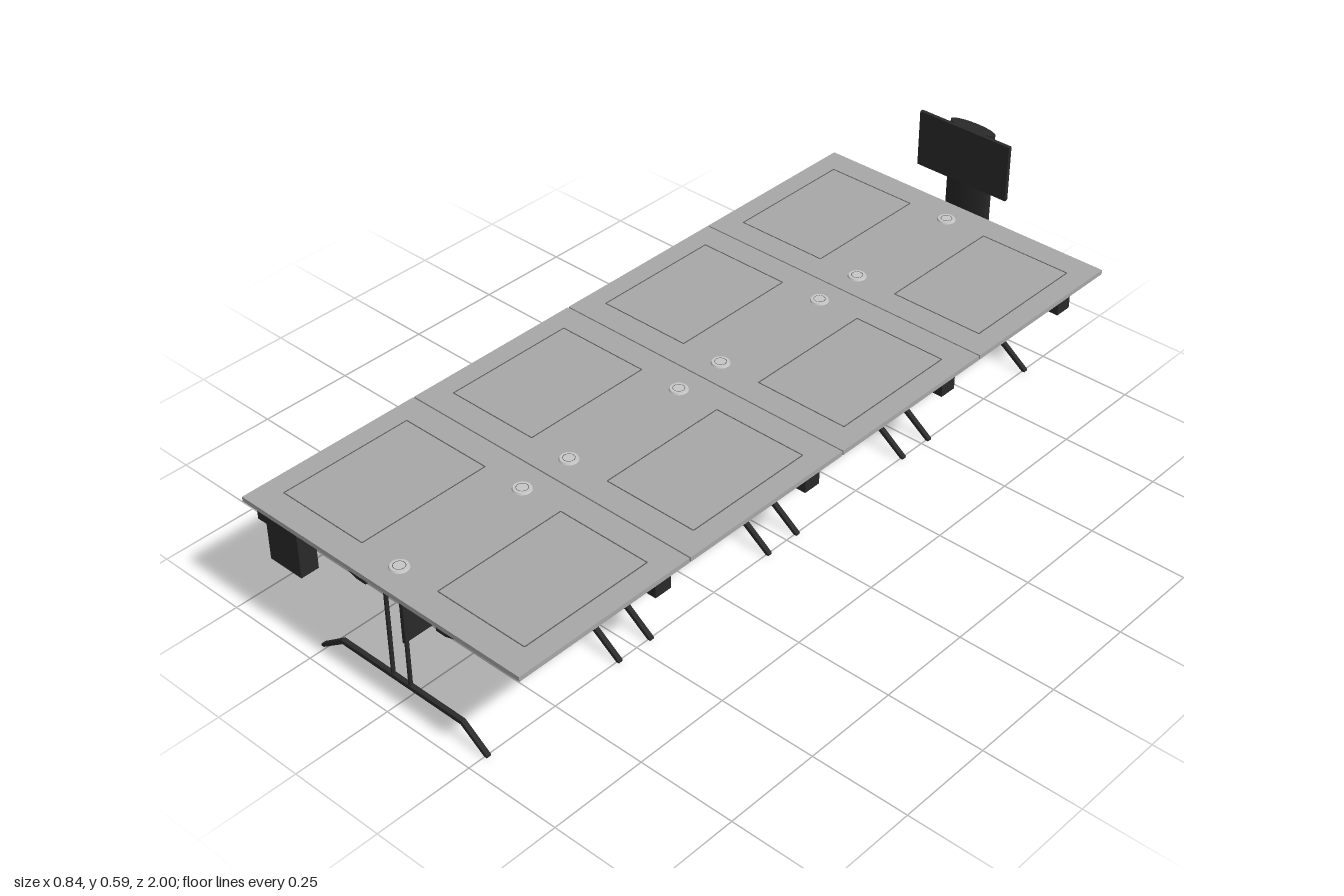
import * as THREE from 'three';

export function createModel() {
  const model = new THREE.Group();
  model.name = 'conferenceTable';

  const mat = (name, color) => {
    const m = new THREE.MeshStandardMaterial({ color });
    m.name = name;
    return m;
  };
  const greyTop = mat('tableGrey', 0xa8a8a8);
  const dark = mat('darkMetal', 0x2a2a2a);
  const pale = mat('grommetGrey', 0xc8c8c8);
  const groove = mat('grooveGrey', 0x5a5a5a);

  const add = (parent, name, geo, material, x = 0, y = 0, z = 0) => {
    const mesh = new THREE.Mesh(geo, material);
    mesh.name = name;
    mesh.position.set(x, y, z);
    parent.add(mesh);
    return mesh;
  };
  // Box given by its limits on each axis
  const box = (parent, name, material, x0, x1, y0, y1, z0, z1) =>
    add(parent, name, new THREE.BoxGeometry(x1 - x0, y1 - y0, z1 - z0), material,
      (x0 + x1) / 2, (y0 + y1) / 2, (z0 + z1) / 2);
  // Profile in x and y, given thickness along z and centred on z = 0
  const slab = (points, depth) => {
    const shape = new THREE.Shape(points.map(([x, y]) => new THREE.Vector2(x, y)));
    return new THREE.ExtrudeGeometry(shape, { depth, bevelEnabled: false }).translate(0, 0, -depth / 2);
  };

  const TOP = 0.354, UNDER = 0.342, PITCH = 0.4905;

  // Foot: a flat bar whose ends bend down to the floor
  const footGeo = slab([
    [-0.26, 0.004], [-0.252, 0.004], [-0.185, 0.052], [0.185, 0.052], [0.252, 0.004], [0.26, 0.004],
    [0.26, 0.009], [0.188, 0.062], [-0.188, 0.062], [-0.26, 0.009],
  ], 0.012);
  const uprightGeo = new THREE.CylinderGeometry(0.005, 0.005, UNDER - 0.057, 10);
  const grommetGeo = new THREE.CylinderGeometry(0.021, 0.023, 0.004, 24);
  const grommetRing = new THREE.RingGeometry(0.013, 0.0145, 24).rotateX(-Math.PI / 2);

  // Sloping housing under each work panel
  const housing = side => {
    const pts = [[0.108, 0.25], [0.137, 0.25], [0.37, 0.328], [0.37, UNDER], [0.108, UNDER]]
      .map(([x, y]) => [side * x, y]);
    return slab(side > 0 ? pts : pts.reverse(), 0.365);
  };

  for (let i = 0; i < 4; i++) {
    const table = new THREE.Group();
    table.name = 'tableSection' + (i + 1);
    table.position.z = 0.7565 - i * PITCH;
    model.add(table);

    box(table, 'tableTop', greyTop, -0.42, 0.42, UNDER, TOP, -0.2435, 0.2435);
    box(table, 'modestyPanel', dark, -0.003, 0.003, 0.152, UNDER, -0.183, 0.183);

    for (const s of [-1, 1]) {
      add(table, 'panelHousing', housing(s), dark);

      // Narrow outline around the opening panel
      const a = Math.min(s * 0.115, s * 0.365), b = Math.max(s * 0.115, s * 0.365);
      const w = 0.0025, h = TOP + 0.0006;
      for (const z of [-0.175, 0.175]) box(table, 'panelOutline', groove, a, b, TOP - 0.001, h, z - w / 2, z + w / 2);
      for (const x of [a, b]) box(table, 'panelOutline', groove, x - w / 2, x + w / 2, TOP - 0.001, h, -0.175, 0.175);

      // Cable grommet, near each end
      add(table, 'grommet', grommetGeo, pale, 0, TOP + 0.002, s * 0.175);
      add(table, 'grommetRing', grommetRing, groove, 0, TOP + 0.0045, s * 0.175);

      // Leg frame
      const leg = new THREE.Group();
      leg.name = 'legFrame';
      leg.position.z = s * 0.196;
      table.add(leg);
      add(leg, 'foot', footGeo, dark);
      for (const x of [-0.027, 0.027]) add(leg, 'upright', uprightGeo, dark, x, (UNDER + 0.057) / 2, 0);
    }
  }

  // Equipment boxes hanging from wider mounting flanges
  const equipment = (x, z) => {
    box(model, 'equipmentBox', dark, x - 0.05, x + 0.05, 0.212, 0.321, z - 0.024, z + 0.024);
    box(model, 'equipmentFlange', dark, x - 0.063, x + 0.063, 0.32, UNDER, z - 0.034, z + 0.034);
  };
  for (const z of [0.965, 0.487, 0.022, -0.468]) equipment(-0.31, z);
  for (const z of [0.508, 0.024, -0.468, -0.93]) equipment(0.29, z);

  // Oval display post at the far end
  const post = add(model, 'displayPost', new THREE.CylinderGeometry(1, 1, 0.578, 40), dark, -0.004, 0.289, -0.981);
  post.scale.set(0.067, 1, 0.019);

  // Display and its bracket
  box(model, 'displayScreen', dark, -0.136, 0.136, 0.44, 0.59, -0.949, -0.939);
  box(model, 'displayBackPlate', dark, -0.09, 0.09, 0.462, 0.565, -0.957, -0.948);
  box(model, 'displayBracket', dark, -0.04, 0.04, 0.48, 0.55, -0.975, -0.956);

  return model;
}
